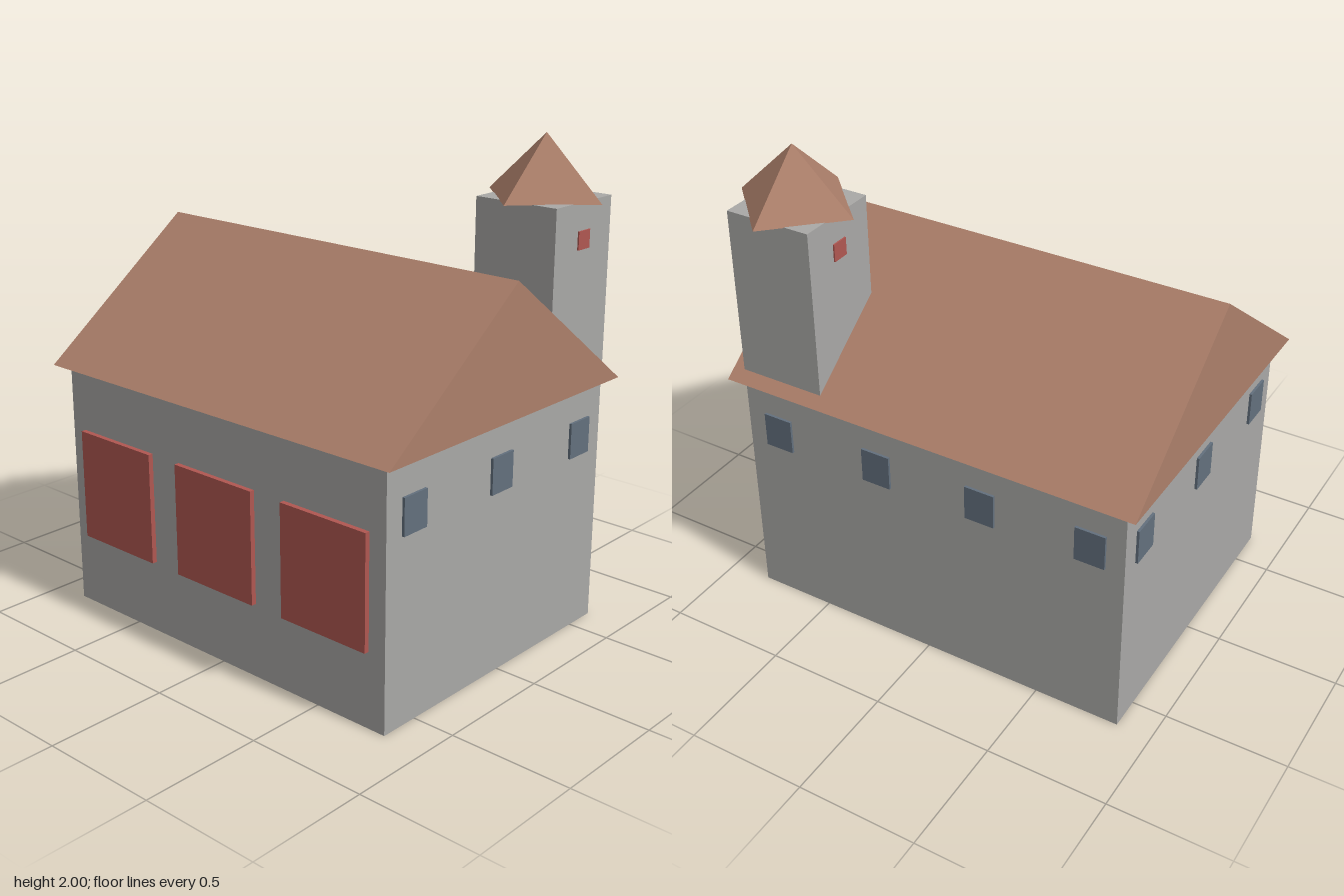
import * as THREE from 'three';

const mat = (name, color) => {
  const m = new THREE.MeshStandardMaterial({ color });
  m.name = name;
  return m;
};

export function createModel() {
  const model = new THREE.Group();
  model.name = 'building';

  const wall = mat('wall grey', 0xa9a8a6);
  const roofBrown = mat('roof brown', 0xac7f6a);
  const red = mat('door red', 0xb05751);
  const glass = mat('window blue grey', 0x63707d);

  // Box given by its lowest and highest corners
  const box = (name, material, [x0, y0, z0], [x1, y1, z1]) => {
    const mesh = new THREE.Mesh(new THREE.BoxGeometry(x1 - x0, y1 - y0, z1 - z0), material);
    mesh.position.set((x0 + x1) / 2, (y0 + y1) / 2, (z0 + z1) / 2);
    mesh.name = name;
    model.add(mesh);
    return mesh;
  };

  // Main hall
  const L = -0.857, R = 0.823, B = -0.635, F = 0.667;
  box('hall', wall, [L, 0, B], [R, 1.04, F]);

  // Gabled roof: triangular prism running along x
  const gable = new THREE.Shape([
    new THREE.Vector2(-0.714, 1.03),
    new THREE.Vector2(0.683, 1.03),
    new THREE.Vector2(-0.016, 1.553),
  ]);
  const roofGeo = new THREE.ExtrudeGeometry(gable, { depth: 1.783, bevelEnabled: false });
  roofGeo.rotateY(Math.PI / 2); // shape x becomes -z, depth becomes +x
  const roof = new THREE.Mesh(roofGeo, roofBrown);
  roof.position.x = -0.91;
  roof.name = 'roof';
  model.add(roof);

  // Three front doors
  for (const x of [-0.58, -0.02, 0.542]) {
    box('door', red, [x - 0.205, 0.307, F - 0.01], [x + 0.205, 0.768, 0.688]);
  }

  // Side windows, three on each end wall
  const out = 0.0105, w = 0.0625, y0 = 0.744, y1 = 0.89;
  for (const z of [0.521, 0.016, -0.49]) {
    box('rightWindow', glass, [R - 0.005, y0, z - w], [R + out, y1, z + w]);
    box('leftWindow', glass, [L - out, y0, z - w], [L + 0.005, y1, z + w]);
  }

  // Four back windows
  for (const x of [0.675, 0.211, -0.253, -0.717]) {
    box('backWindow', glass, [x - w, y0, B - out], [x + w, y1, B + 0.005]);
  }

  // Tower with a small red window on each x side
  box('tower', wall, [0.459, 1.035, B], [0.825, 1.76, -0.271]);
  box('towerWindow', red, [0.82, 1.58, -0.491], [0.831, 1.652, -0.418]);
  box('towerWindow', red, [0.453, 1.58, -0.491], [0.464, 1.652, -0.418]);

  // Four-sided spire turned corner-on to the tower
  const spireGeo = new THREE.ConeGeometry(0.259, 0.242, 4).toNonIndexed();
  spireGeo.computeVertexNormals();
  const spire = new THREE.Mesh(spireGeo, roofBrown);
  spire.position.set(0.642, 1.879, -0.455);
  spire.name = 'spire';
  model.add(spire);

  return model;
}
